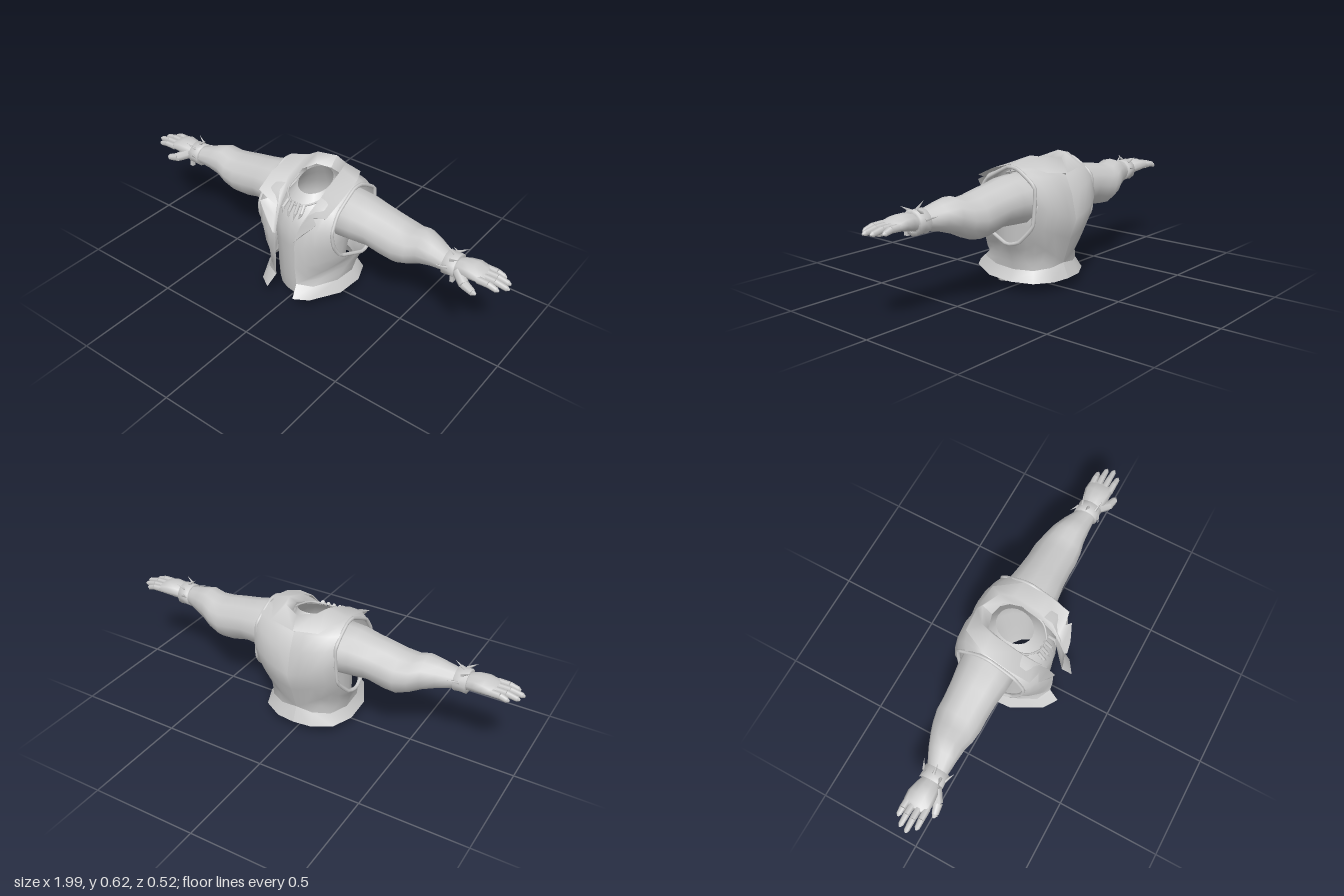
import * as THREE from 'three';

const mat = new THREE.MeshStandardMaterial({ color: 0xcccccc, side: THREE.DoubleSide });
const V = (x, y, z) => new THREE.Vector3(x, y, z);

function add(parent, name, geo) {
  const m = new THREE.Mesh(geo, mat);
  m.name = name;
  parent.add(m);
  return m;
}

// Surface through rows of points; closed joins the row ends, cap adds a fan on the last row
function skin(rows, closed = false, cap = false) {
  const n = rows[0].length, pos = [], idx = [];
  rows.forEach(r => r.forEach(p => pos.push(p.x, p.y, p.z)));
  for (let i = 0; i < rows.length - 1; i++)
    for (let j = 0; j < (closed ? n : n - 1); j++) {
      const k = (j + 1) % n, a = i * n + j, b = i * n + k;
      idx.push(a, a + n, b, b, a + n, b + n);
    }
  if (cap) {
    const o = (rows.length - 1) * n;
    for (let j = 1; j < n - 1; j++) idx.push(o, o + j, o + j + 1);
  }
  const g = new THREE.BufferGeometry();
  g.setAttribute('position', new THREE.Float32BufferAttribute(pos, 3));
  g.setIndex(idx);
  g.computeVertexNormals();
  return g;
}

// Limb cross-sections along x: [x, yCentre, zCentre, yRadius, zRadius]
function limb(sections, s, n = 12, cap = false) {
  return skin(sections.map(([x, y, z, ry, rz]) => Array.from({ length: n }, (_, j) => {
    const a = j / n * Math.PI * 2;
    return V(s * x, y + ry * Math.sin(a), z + rz * Math.cos(a));
  })), true, cap);
}

// Tapered round piece between two points
function rod(a, b, r0, r1, sides = 6) {
  const d = b.clone().sub(a), g = new THREE.CylinderGeometry(r1, r0, d.length(), sides, 1);
  g.applyQuaternion(new THREE.Quaternion().setFromUnitVectors(V(0, 1, 0), d.clone().normalize()));
  const c = a.clone().add(b).multiplyScalar(0.5);
  return g.translate(c.x, c.y, c.z);
}

// Armhole points as [y, z], from the shoulder forwards, down and back up
const armhole = [[.575, -.03], [.51, .09], [.43, .14], [.355, .13], [.29, .09], [.27, .04], [.255, 0], [.245, -.03],
  [.235, -.06], [.24, -.09], [.25, -.12], [.285, -.15], [.33, -.185], [.42, -.21], [.5, -.19], [.545, -.15], [.57, -.09]];
// Matching points on the outer edge of a vest half: neck, front edge, waist, back seam
const border = [[.1, .6, -.05], [.1, .53, .12], [.07, .45, .18], [.055, .34, .215], [.055, .22, .215], [.06, .12, .21],
  [.13, .115, .175], [.185, .11, .06], [.19, .105, -.05], [.155, .105, -.14], [.08, .11, -.182], [0, .12, -.19],
  [0, .24, -.23], [0, .335, -.26], [0, .45, -.235], [0, .53, -.2], [.06, .57, -.15]];
// Lower edge of the flared hem, front to back
const hemEdge = [[.075, .07, .26], [.14, .065, .215], [.215, .058, .075], [.222, .055, -.06], [.18, .053, -.16],
  [.09, .05, -.21], [0, .05, -.22]];
// Collar from back seam to lapel tip: inner, crest and outer points
const collar = [
  [[0, .56, -.13], [0, .605, -.175], [0, .54, -.208]],
  [[.07, .565, -.11], [.08, .615, -.135], [.12, .555, -.195]],
  [[.09, .57, -.03], [.1, .618, -.075], [.188, .595, -.07]],
  [[.09, .53, .06], [.105, .57, .05], [.197, .56, .06]],
  [[.08, .48, .13], [.09, .505, .13], [.19, .515, .16]],
  [[.074, .46, .155], [.085, .475, .165], [.13, .5, .172]],
  [[.065, .43, .18], [.072, .44, .195], [.16, .485, .19]],
  [[.055, .36, .212], [.06, .37, .225], [.1, .42, .218]]];

function vestHalf(g, s) {
  const inner = armhole.map(([y, z]) => V(s * (y > .3 ? .2 + (.575 - y) * .05 : .214 + (.3 - y) * .42), y, z));
  const outer = border.map(p => V(s * p[0], p[1], p[2]));
  const rows = [0, .25, .5, .75, 1].map(t => inner.map((a, j) => {
    const p = a.clone().lerp(outer[j], t);
    const out = V(p.x, 0, p.z + .02).normalize();
    const waist = j > 5 && j < 11;
    return p.addScaledVector(out, (waist ? -.008 : .022) * 4 * t * (1 - t));
  }));
  add(g, 'vestPanel', skin(rows, true));
  add(g, 'armholeTrim', new THREE.TubeGeometry(
    new THREE.CatmullRomCurve3(inner.filter((_, j) => j < 6 || j % 2 === 0), true, 'catmullrom', .2), 40, .009, 6, true));
  add(g, 'vestHem', skin([outer.slice(5, 12), hemEdge.map(p => V(s * p[0], p[1], p[2]))]));
  add(g, 'collar', skin(collar.map(r => r.map(p => V(s * p[0], p[1], p[2])))));
}

function armHalf(g, s) {
  add(g, 'arm', limb([[.17, .43, -.05, .115, .13], [.25, .43, -.05, .11, .125], [.32, .425, -.05, .1, .115],
    [.4, .408, -.05, .105, .11], [.46, .4, -.05, .1, .11], [.52, .408, -.045, .085, .1], [.57, .428, -.04, .08, .085],
    [.63, .43, -.03, .062, .07], [.7, .425, -.015, .044, .05], [.76, .425, -.012, .038, .044]], s));

  // Wristband with spikes and a loose strap end
  add(g, 'wristband', limb([[.7, .425, -.013, .04, .046], [.7, .425, -.013, .055, .06], [.728, .425, -.013, .052, .057],
    [.756, .425, -.013, .055, .058], [.756, .425, -.013, .036, .04]], s));
  for (let i = 0; i < 5; i++) {
    const a = .25 + i * .65, c = Math.cos(a), n = Math.sin(a), dx = i % 2 ? .045 : -.045;
    add(g, 'wristSpike', rod(V(s * .728, .425 + n * .05, -.013 + c * .055),
      V(s * (.728 + dx), .425 + n * .085, -.013 + c * .078), .008, 0, 4));
  }
  add(g, 'strapEnd', new THREE.BoxGeometry(.016, .05, .02).translate(s * .75, .392, .025));

  // Hand
  add(g, 'palm', limb([[.745, .425, -.012, .036, .042], [.785, .435, -.013, .038, .055], [.83, .44, -.016, .033, .063],
    [.87, .436, -.016, .023, .062], [.89, .432, -.016, .012, .055]], s, 10, true));
  [[.033, .965], [0, .995], [-.033, .985], [-.062, .95]].forEach(([z, tip]) => {
    const a = V(s * .865, .436, z * .95), k = V(s * (.865 + tip) / 2, .436, z), e = V(s * (tip - .012), .427, z * 1.03);
    add(g, 'finger', rod(a, k, .017, .015));
    add(g, 'finger', rod(k, e, .015, .012));
    add(g, 'fingerTip', rod(e, V(s * tip, .425, z * 1.03), .012, .004));
  });
  const t = [V(s * .77, .425, .02), V(s * .82, .402, .055), V(s * .865, .391, .066), V(s * .882, .388, .066)];
  [[.026, .023], [.022, .016], [.016, .005]].forEach(([r0, r1], i) => add(g, 'thumb', rod(t[i], t[i + 1], r0, r1, 7)));
}

export function createModel() {
  const root = new THREE.Group();
  root.name = 'vestedTorso';

  // Torso rings: [y, xRadius, zBack, zFront, forward slope]
  const rings = [[.03, .158, -.1, .15, -.2], [.1, .16, -.13, .165, -.05], [.2, .165, -.15, .17, 0], [.3, .175, -.175, .178, 0],
    [.38, .18, -.19, .178, 0], [.45, .15, -.17, .152, -.03], [.51, .105, -.13, .112, -.15], [.55, .078, -.1, .072, -.3]];
  add(root, 'torso', skin(rings.map(([y, rx, z0, z1, k]) => Array.from({ length: 20 }, (_, j) => {
    const a = j / 20 * Math.PI * 2, z = (z0 + z1) / 2 + (z1 - z0) / 2 * Math.cos(a);
    return V(rx * Math.sin(a), y + k * z, z);
  })), true));

  // Claw necklace
  const cord = new THREE.CatmullRomCurve3([V(-.1, .545, -.02), V(-.085, .52, .08), V(-.04, .503, .122), V(0, .497, .133),
    V(.04, .503, .122), V(.085, .52, .08), V(.1, .545, -.02)]);
  add(root, 'necklaceCord', new THREE.TubeGeometry(cord, 24, .005, 5));
  [-.045, -.015, .015, .045].forEach(x => {
    const low = Math.abs(x) > .03 ? .45 : .43;
    const a = V(x, .508, .127), m = V(x * 1.15, (.508 + low) / 2, .158), e = V(x * .9, low, .172);
    add(root, 'claw', rod(a, m, .009, .008));
    add(root, 'claw', rod(m, e, .008, 0));
  });

  for (const s of [1, -1]) {
    const vest = new THREE.Group(), arm = new THREE.Group();
    vest.name = s > 0 ? 'leftVestHalf' : 'rightVestHalf';
    arm.name = s > 0 ? 'leftArm' : 'rightArm';
    vestHalf(vest, s);
    armHalf(arm, s);
    root.add(vest, arm);
  }
  return root;
}
